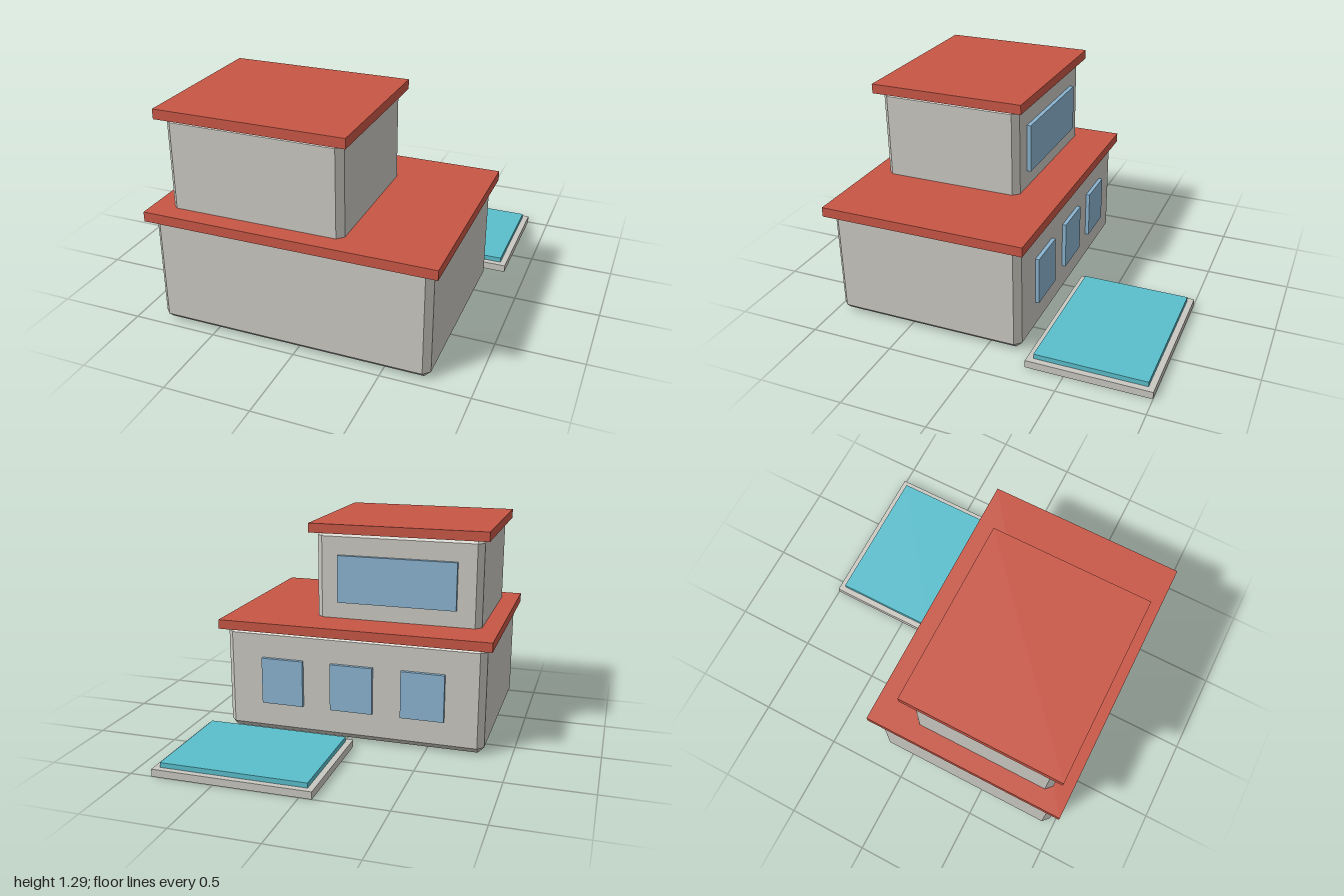
import * as THREE from 'three';
import { ConvexGeometry } from 'three/addons/geometries/ConvexGeometry.js';

const material = (name, color) => {
  const m = new THREE.MeshStandardMaterial({ color });
  m.name = name;
  return m;
};

// Box with flat chamfers on every edge: hull of three points per corner
function chamferedBox(w, h, d, c) {
  const points = [];
  for (const x of [-1, 1]) for (const y of [-1, 1]) for (const z of [-1, 1]) {
    for (let axis = 0; axis < 3; axis++) {
      const inset = [c, c, c];
      inset[axis] = 0;
      points.push(new THREE.Vector3(
        x * (w / 2 - inset[0]), y * (h / 2 - inset[1]), z * (d / 2 - inset[2])));
    }
  }
  return new ConvexGeometry(points);
}

export function createModel() {
  const house = new THREE.Group();
  house.name = 'house';

  const stone = material('stone', 0xcac8c1);
  const roofRed = material('roofRed', 0xc85645);
  const glass = material('glass', 0x8ab4d0);
  const water = material('water', 0x5abfcd);

  // Adds a box given its extents along each axis, chamfered if asked
  function block(name, mat, [x0, x1], [y0, y1], [z0, z1], chamfer = 0) {
    const size = [x1 - x0, y1 - y0, z1 - z0];
    const geometry = chamfer
      ? chamferedBox(...size, chamfer)
      : new THREE.BoxGeometry(...size);
    const mesh = new THREE.Mesh(geometry, mat);
    mesh.name = name;
    mesh.position.set((x0 + x1) / 2, (y0 + y1) / 2, (z0 + z1) / 2);
    house.add(mesh);
  }

  // Two storeys, each with an overhanging flat roof
  block('lowerStorey', stone, [-0.84, 0.762], [0.009, 0.665], [-0.2, 0.963], 0.037);
  block('lowerRoof', roofRed, [-0.875, 0.8], [0.65, 0.707], [-0.235, 1]);
  block('upperStorey', stone, [-0.766, 0.253], [0.66, 1.247], [0.02, 0.892], 0.036);
  block('upperRoof', roofRed, [-0.802, 0.289], [1.233, 1.29], [-0.018, 0.928]);

  // Windows on the back wall
  for (const x of [-0.475, -0.04, 0.397]) {
    block('lowerWindow', glass, [x - 0.131, x + 0.131], [0.195, 0.483], [-0.223, -0.19]);
  }
  block('upperWindow', glass, [-0.619, 0.113], [0.81, 1.1], [-0.005, 0.03]);

  // Pool behind the house
  block('poolDeck', stone, [-0.073, 0.87], [0, 0.044], [-1, -0.275]);
  block('poolWater', water, [-0.037, 0.834], [0.03, 0.073], [-0.964, -0.311]);

  return house;
}
